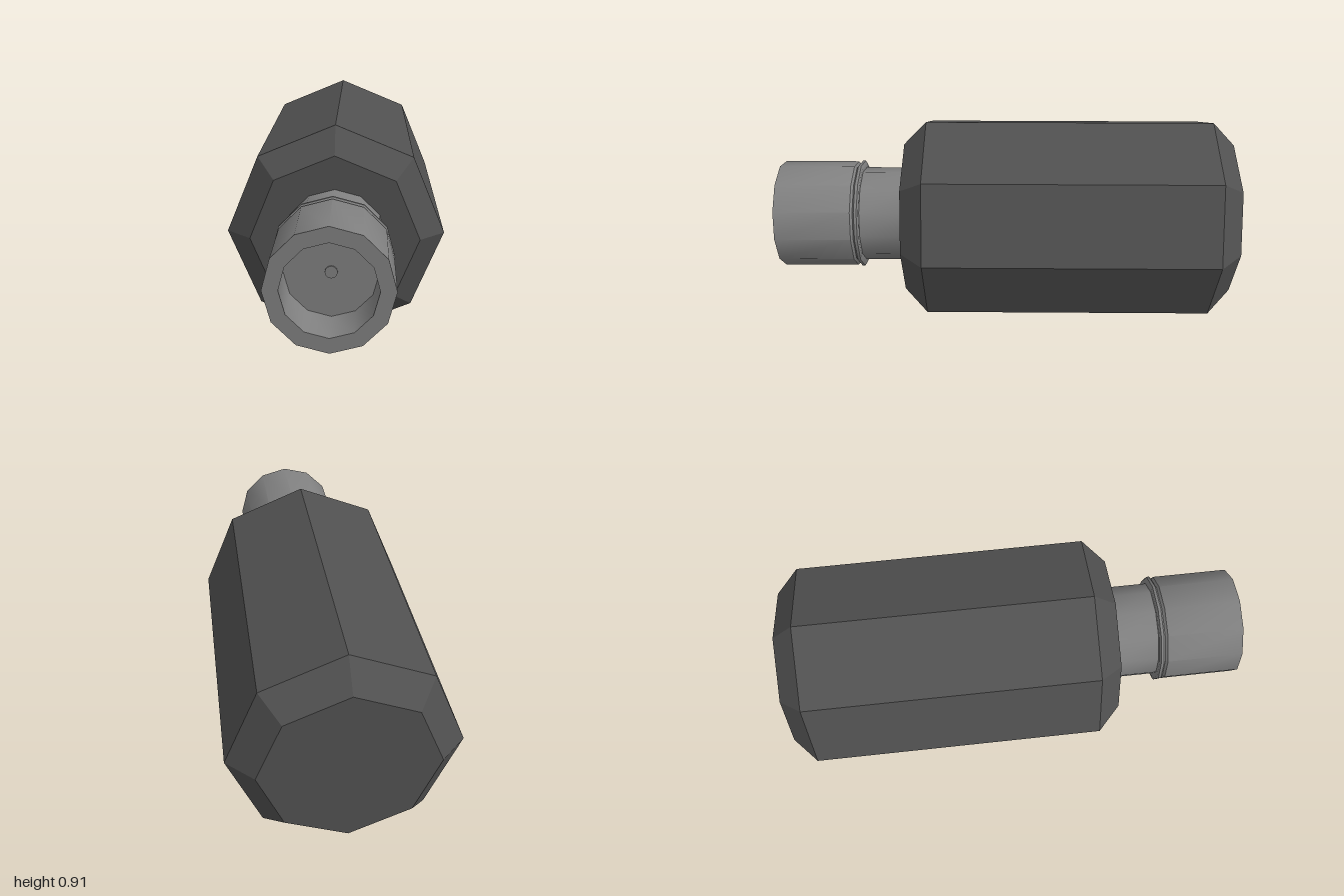
import * as THREE from 'three';
import { toCreasedNormals } from 'three/addons/utils/BufferGeometryUtils.js';

const AXIS_HEIGHT = 0.4535;

// Turned part along z: profile is a list of [radius, z] from back to front
function turned(name, profile, sides, material, crease) {
  const points = profile.map(([r, z]) => new THREE.Vector2(r, z));
  let geometry = new THREE.LatheGeometry(points, sides);
  geometry.rotateX(Math.PI / 2);
  geometry = toCreasedNormals(geometry, crease);
  const mesh = new THREE.Mesh(geometry, material);
  mesh.name = name;
  mesh.position.y = AXIS_HEIGHT;
  return mesh;
}

export function createModel() {
  const group = new THREE.Group();
  group.name = 'barrelAttachment';
  const dark = new THREE.MeshStandardMaterial({ color: 0x505050 });
  const grey = new THREE.MeshStandardMaterial({ color: 0x808080 });

  // Octagonal body with chamfered ends
  group.add(turned('body', [
    [0, -1], [0.348, -1], [0.4535, -0.9], [0.4535, 0.34], [0.348, 0.44], [0, 0.44],
  ], 8, dark, 0.1));

  // Narrow neck between body and sleeve
  group.add(turned('neck', [[0.21, 0.43], [0.21, 0.645]], 12, grey, 0.7));

  // Rounded collar ring behind the sleeve
  group.add(turned('collar', [
    [0.21, 0.632], [0.232, 0.632], [0.24, 0.638], [0.24, 0.65], [0.232, 0.657], [0.225, 0.657],
  ], 12, grey, 0.7));

  // Hollow front sleeve with rim, bore and bore floor
  group.add(turned('sleeve', [
    [0.225, 0.655], [0.231, 0.664], [0.237, 0.668], [0.237, 1],
    [0.178, 1], [0.178, 0.81], [0, 0.81],
  ], 12, grey, 0.7));

  // Small pin in the middle of the bore floor
  group.add(turned('centrePin', [[0.024, 0.8], [0.024, 0.816], [0, 0.816]], 12, grey, 0.7));

  return group;
}
